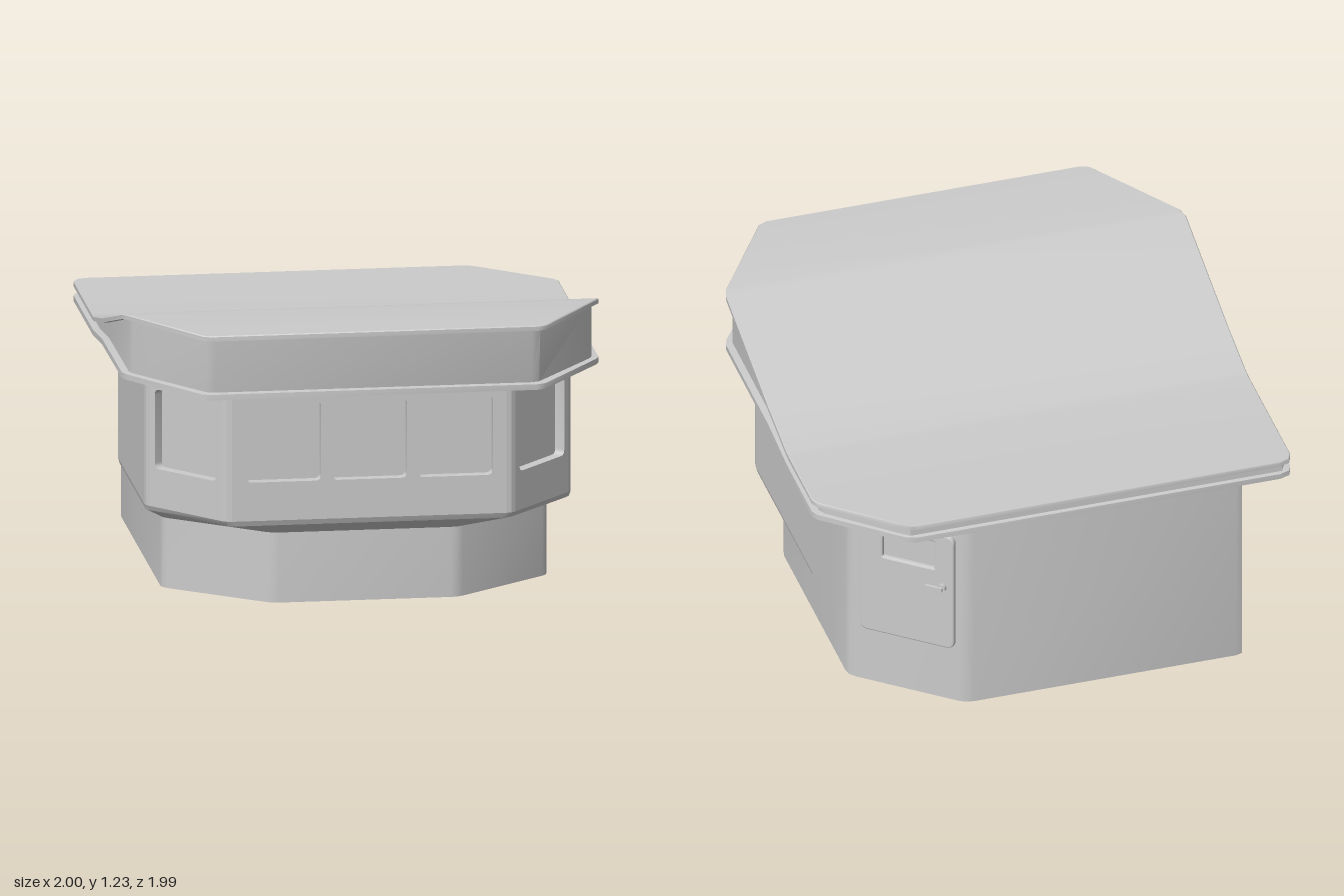
import * as THREE from 'three';
import { toCreasedNormals } from 'three/addons/utils/BufferGeometryUtils.js';

const material = new THREE.MeshStandardMaterial({ color: 0xcccccc, side: THREE.DoubleSide });
const lerp = THREE.MathUtils.lerp;

function mesh(geometry, name, parent) {
  const m = new THREE.Mesh(geometry, material);
  m.name = name;
  parent.add(m);
  return m;
}

// Skin of quads through successive rows of [x, y, z] points
function skin(rows, closed = false) {
  const n = rows[0].length, index = [];
  for (let r = 0; r < rows.length - 1; r++) {
    for (let i = 0; i < (closed ? n : n - 1); i++) {
      const a = r * n + i, b = r * n + (i + 1) % n;
      index.push(a, b, b + n, a, b + n, a + n);
    }
  }
  const g = new THREE.BufferGeometry();
  g.setAttribute('position', new THREE.Float32BufferAttribute(rows.flat(2), 3));
  g.setIndex(index);
  return toCreasedNormals(g, 0.6);
}

// Round the inner corners of an [x, z] path, three points per corner
function roundPath(path, r) {
  const toward = (p, q) => {
    const t = r / Math.hypot(q[0] - p[0], q[1] - p[1]);
    return [lerp(p[0], q[0], t), lerp(p[1], q[1], t)];
  };
  return path.flatMap((p, i) => {
    if (i === 0 || i === path.length - 1) return [p];
    const a = toward(p, path[i - 1]), b = toward(p, path[i + 1]);
    return [a, [(a[0] + b[0] + 2 * p[0]) / 4, (a[1] + b[1] + 2 * p[1]) / 4], b];
  });
}

const atHeight = (path, y) => path.map(([x, z]) => [x, y, z]);

function roundedRect(x0, y0, x1, y1, r, target = new THREE.Shape()) {
  target.moveTo(x0 + r, y0).lineTo(x1 - r, y0).quadraticCurveTo(x1, y0, x1, y0 + r);
  target.lineTo(x1, y1 - r).quadraticCurveTo(x1, y1, x1 - r, y1);
  target.lineTo(x0 + r, y1).quadraticCurveTo(x0, y1, x0, y1 - r);
  target.lineTo(x0, y0 + r).quadraticCurveTo(x0, y0, x0 + r, y0);
  return target;
}

// Group whose local x runs along the wall from a to b and local z points outward
function wallFrame(a, b, name, parent) {
  const g = new THREE.Group();
  g.name = name;
  g.position.set(a[0], 0, a[1]);
  g.rotation.y = Math.atan2(a[1] - b[1], b[0] - a[0]);
  parent.add(g);
  return g;
}

// Flat wall with recessed rounded windows; spans are measured along the wall
function windowWall(a, b, y0, y1, spans, name, parent) {
  const frame = wallFrame(a, b, name, parent);
  const length = Math.hypot(b[0] - a[0], b[1] - a[1]);
  const shape = new THREE.Shape();
  shape.moveTo(0, y0).lineTo(length, y0).lineTo(length, y1).lineTo(0, y1);
  for (const [u0, u1] of spans) {
    const outline = roundedRect(u0, 0.55, u1, 0.89, 0.025);
    shape.holes.push(roundedRect(u0, 0.55, u1, 0.89, 0.025, new THREE.Path()));
    const points = outline.getPoints(5).slice(0, -1);
    const ring = z => points.map(p => [p.x, p.y, z]);
    mesh(skin([ring(0), ring(-0.045)], true), 'windowReveal', frame);
    mesh(new THREE.ShapeGeometry(outline, 5), 'windowPane', frame).position.z = -0.045;
  }
  mesh(new THREE.ShapeGeometry(shape, 5), 'wallPanel', frame);
}

function buildBase(parent) {
  const front = roundPath([[-0.81, -0.35], [-0.81, 0.35], [-0.39, 0.68],
    [0.39, 0.68], [0.81, 0.35], [0.81, -0.35]], 0.03);
  mesh(skin([atHeight(front, 0), atHeight(front, 0.3)]), 'frontBase', parent);

  const back = roundPath([[0.81, -0.35], [0.81, -0.58], [0.4, -0.92],
    [-0.81, -0.92], [-0.81, -0.35]], 0.035);
  mesh(skin([atHeight(back, 0), atHeight(back, 0.95)]), 'rearWalls', parent);
  return front;
}

function buildBay(parent, base) {
  const bay = roundPath([[-0.895, -0.35], [-0.895, 0.47], [-0.6, 0.81],
    [0.6, 0.81], [0.895, 0.47], [0.895, -0.35]], 0.025);
  // Sloping underside with a softened lower edge
  const soft = bay.map(([x, z], i) => [lerp(base[i][0], x, 0.93), lerp(base[i][1], z, 0.93)]);
  mesh(skin([atHeight(base, 0.3), atHeight(soft, 0.362), atHeight(bay, 0.385)]), 'bayUnderside', parent);

  const windows = {
    4: [[0.035, 0.36], [0.395, 0.72]],
    7: null
  };
  const top = 0.95;
  for (let i = 0; i < bay.length - 1; i++) {
    const a = bay[i], b = bay[i + 1];
    const length = Math.hypot(b[0] - a[0], b[1] - a[1]);
    const isLong = length > 0.1;
    if (isLong && Math.abs(a[1] - b[1]) < 0.001) {
      const spans = [-0.36, 0, 0.36].map(c => [length / 2 + c - 0.158, length / 2 + c + 0.158]);
      windowWall(a, b, 0.385, top, spans, 'frontWindowWall', parent);
    } else if (isLong && Math.abs(a[0] - b[0]) > 0.1) {
      windowWall(a, b, 0.385, top, [[length / 2 - 0.17, length / 2 + 0.17]], 'cornerWindowWall', parent);
    } else {
      mesh(skin([atHeight([a, b], 0.385), atHeight([a, b], top)]), 'bayWall', parent);
    }
  }

  // Rear ends of the bay where it steps in to the rear walls
  for (const s of [-1, 1]) {
    const end = new THREE.Shape();
    end.moveTo(s * 0.81, 0.3).lineTo(s * 0.889, 0.362).lineTo(s * 0.895, 0.385);
    end.lineTo(s * 0.895, top).lineTo(s * 0.81, top);
    const g = new THREE.ShapeGeometry(end).rotateY(Math.PI);
    mesh(g, 'bayEnd', parent).position.z = -0.35;
  }
}

function buildDoor(parent) {
  const frame = wallFrame([0.81, -0.58], [0.4, -0.92], 'door', parent);
  const slab = roundedRect(0.068, 0.273, 0.478, 0.822, 0.03);
  slab.holes.push(roundedRect(0.155, 0.645, 0.405, 0.795, 0.015, new THREE.Path()));
  const g = new THREE.ExtrudeGeometry(slab, {
    depth: 0.012, bevelThickness: 0.008, bevelSize: 0.008, bevelSegments: 2, curveSegments: 5
  });
  mesh(g, 'doorSlab', frame);
  const plate = mesh(new THREE.CylinderGeometry(0.018, 0.018, 0.02, 16).rotateX(Math.PI / 2), 'handleRose', frame);
  plate.position.set(0.435, 0.572, 0.028);
  const lever = mesh(new THREE.BoxGeometry(0.075, 0.016, 0.014), 'handleLever', frame);
  lever.position.set(0.405, 0.572, 0.042);
}

function buildRoof(parent) {
  // Cross-sections from back to front: z, left x, right x, roof height, eave height
  const stations = [
    [-1, -0.94, 0.64, 0.997, 0.912], [-0.985, -0.985, 0.68, 0.997, 0.912],
    [-0.95, -1, 0.722, 0.997, 0.912], [-0.72, -1, 0.985, 0.997, 0.912],
    [-0.69, -1, 1, 0.997, 0.912], [-0.37, -1, 1, 0.997, 0.912],
    [-0.33, -1, 1, 1.0, 0.914], [-0.07, -1, 1, 1.058, 0.942],
    [0.53, -1, 1, 1.221, 0.947], [0.57, -0.985, 0.985, 1.227, 0.947],
    [0.975, -0.72, 0.72, 1.227, 0.945], [0.99, -0.685, 0.685, 1.227, 0.945]
  ];
  // One closed level of the roof, inset at the sides and ending at zFront
  const level = (zFront, inset, column, dy) => {
    const side = k => stations.map(s => {
      const z = s[0] > 0.53 ? 0.53 + (s[0] - 0.53) * (zFront - 0.53) / 0.46
        : Math.max(s[0], -1 + inset * 0.6);
      return [s[k] * (1 - inset), s[column] + dy, z];
    });
    const left = side(1), right = side(2);
    return { left, right, ring: [...left, ...right.slice().reverse()] };
  };
  const lipIn = level(0.93, 0.03, 4, 0.026);
  const lipLow = level(0.96, 0, 4, 0), lipHigh = level(0.96, 0, 4, 0.024);
  const plateIn = level(0.965, 0.03, 3, -0.022);
  const plateLow = level(0.99, 0, 3, -0.022), plateEdge = level(0.99, 0, 3, -0.004);
  const plateTop = level(0.986, 0.004, 3, 0);

  mesh(skin([lipLow.right, lipLow.left]), 'soffit', parent);
  mesh(skin([lipLow.ring, lipHigh.ring, lipIn.ring], true), 'eaveLip', parent);
  mesh(skin([lipIn.ring, plateIn.ring], true), 'fascia', parent);
  mesh(skin([plateIn.ring, plateLow.ring, plateEdge.ring, plateTop.ring], true), 'roofEdge', parent);
  mesh(skin([plateTop.left, plateTop.right]), 'roofTop', parent);
}

export function createModel() {
  const model = new THREE.Group();
  model.name = 'kiosk';
  const base = buildBase(model);
  buildBay(model, base);
  buildDoor(model);
  buildRoof(model);
  return model;
}
